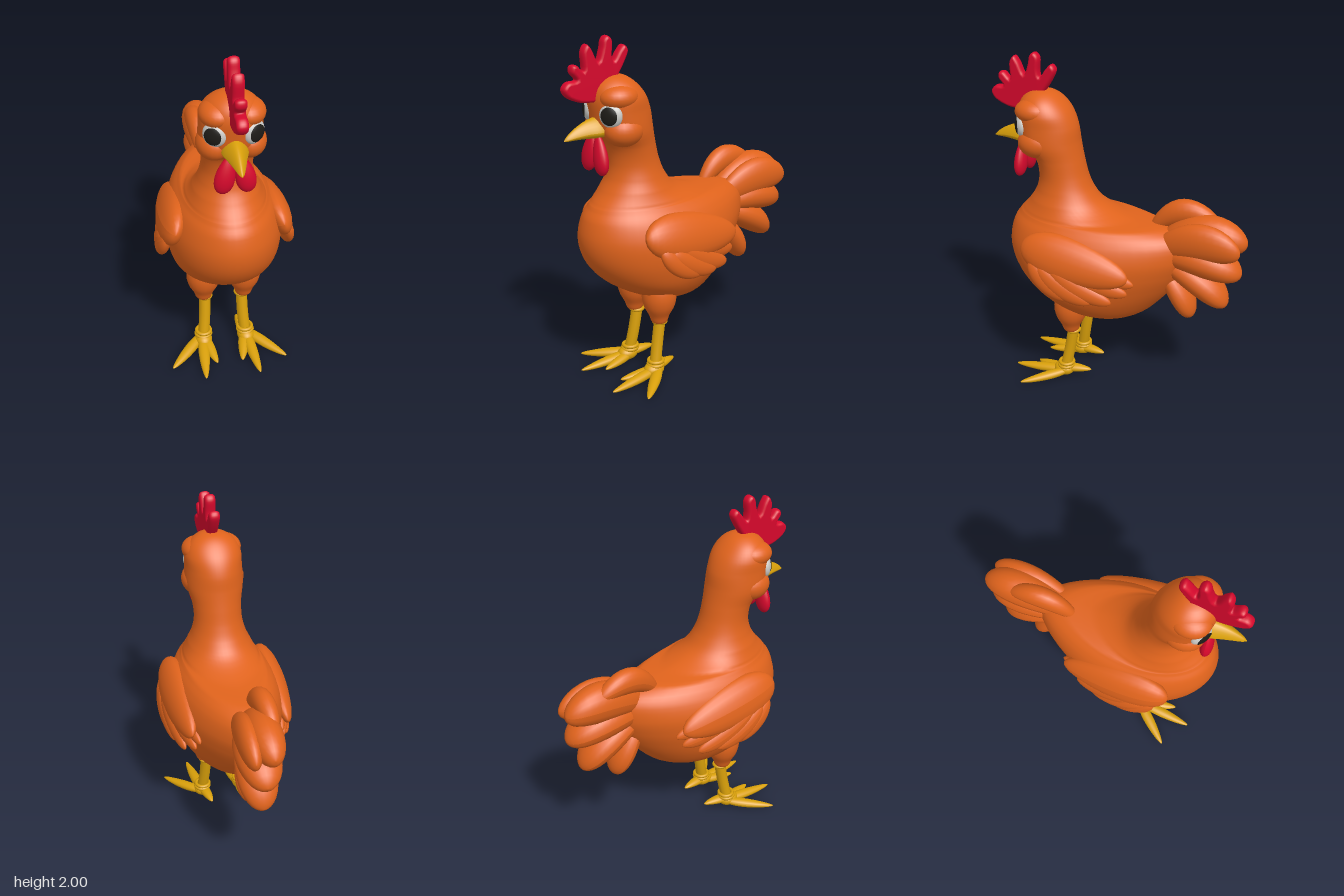
import * as THREE from 'three';
import { mergeVertices } from 'three/addons/utils/BufferGeometryUtils.js';
import { ParametricGeometry } from 'three/addons/geometries/ParametricGeometry.js';

const V = (x, y, z) => new THREE.Vector3(x, y, z);
const paint = (name, color) => {
  const m = new THREE.MeshStandardMaterial({ color });
  m.name = name;
  return m;
};

export function createModel() {
  const model = new THREE.Group();
  model.name = 'hen';
  const orange = paint('orange plumage', 0xe0631c);
  const yellow = paint('yellow horn', 0xd9a00a);
  const red = paint('red comb', 0xd6082c);
  const white = paint('eye white', 0xcdccc8);
  const black = paint('pupil black', 0x1e1c18);

  const add = (name, geo, mat, x = 0, y = 0, z = 0) => {
    const mesh = new THREE.Mesh(geo, mat);
    mesh.name = name;
    mesh.position.set(x, y, z);
    model.add(mesh);
    return mesh;
  };
  const blob = (name, mat, c, r) => add(name, new THREE.SphereGeometry(1, 24, 16).scale(...r), mat, ...c);

  // Flattened lobe from a to b; taper widens (+) or narrows (-) its far end, bend arches it, tilt rolls it
  const lobe = (name, mat, a, b, thick, width, taper = 0, bend = 0, tilt = 0) => {
    const from = V(...a), to = V(...b);
    const dir = to.clone().sub(from);
    const half = dir.length() / 2;
    dir.normalize();
    const side = V(1, tilt, 0);
    side.addScaledVector(dir, -side.dot(dir)).normalize();
    const up = side.clone().cross(dir);
    const geo = new THREE.SphereGeometry(1, 20, 18);
    const p = geo.attributes.position;
    for (let i = 0; i < p.count; i++) {
      const t = p.getY(i), k = 1 + taper * t;
      p.setXYZ(i, p.getX(i) * thick * k, t * half, p.getZ(i) * width * k + bend * (1 - t * t));
    }
    geo.applyMatrix4(new THREE.Matrix4().makeBasis(side, dir, up).setPosition(from.add(to).multiplyScalar(0.5)));
    geo.computeVertexNormals();
    return add(name, geo, mat);
  };

  // Body, neck and head: level slices [y, front z, back z, half width, z of widest point]
  const rows = [
    [0.437, 0.06, 0.04, 0.005, 0.05], [0.45, 0.17, -0.08, 0.1, 0.06], [0.5, 0.33, -0.18, 0.2, 0.12],
    [0.6, 0.5, -0.28, 0.28, 0.18], [0.7, 0.6, -0.36, 0.313, 0.2], [0.8, 0.652, -0.42, 0.327, 0.2],
    [0.9, 0.665, -0.455, 0.322, 0.2], [1.0, 0.643, -0.44, 0.287, 0.21], [1.06, 0.605, -0.34, 0.245, 0.23],
    [1.09, 0.58, -0.06, 0.222, 0.27], [1.15, 0.53, 0.09, 0.19, 0.31], [1.22, 0.49, 0.15, 0.16, 0.32],
    [1.3, 0.474, 0.185, 0.142, 0.33], [1.4, 0.49, 0.21, 0.145, 0.36], [1.5, 0.565, 0.23, 0.17, 0.42],
    [1.6, 0.585, 0.245, 0.168, 0.44], [1.68, 0.59, 0.28, 0.163, 0.44], [1.74, 0.57, 0.33, 0.13, 0.44],
    [1.78, 0.52, 0.385, 0.075, 0.45], [1.797, 0.46, 0.45, 0.005, 0.455],
  ];
  const outline = new THREE.CatmullRomCurve3(rows.map(r => V(r[0], r[1], r[2])));
  const girth = new THREE.CatmullRomCurve3(rows.map(r => V(r[3], r[4], r[0])));
  add('body', new ParametricGeometry((u, v, out) => {
    const a = u * Math.PI * 2, s = Math.sin(a), c = Math.cos(a);
    const o = outline.getPoint(v), g = girth.getPoint(v);
    // the rump narrows to a point, the neck stays round
    const power = c < 0 ? 1 + 0.4 * (1 - THREE.MathUtils.smoothstep(o.x, 1.0, 1.2)) : 1;
    const x = g.x * Math.sign(s) * Math.pow(Math.abs(s), power);
    out.set(x, o.x, g.y + c * (c > 0 ? o.y - g.y : g.y - o.z));
  }, 48, 76), orange);

  // Beak: rounded slices along z [z, centre y, half width, half height]
  const beakRows = [
    [0.53, 1.525, 0.072, 0.058], [0.58, 1.522, 0.068, 0.056], [0.64, 1.517, 0.05, 0.046],
    [0.7, 1.505, 0.032, 0.031], [0.75, 1.488, 0.015, 0.014], [0.77, 1.478, 0.002, 0.002],
  ];
  const beakLine = new THREE.CatmullRomCurve3(beakRows.map(r => V(0, r[1], r[0])));
  const beakSize = new THREE.CatmullRomCurve3(beakRows.map(r => V(r[2], r[3], r[0])));
  add('beak', new ParametricGeometry((u, v, out) => {
    const a = u * Math.PI * 2, o = beakLine.getPoint(v), g = beakSize.getPoint(v);
    const s = Math.sin(a);
    // ridged on top, widest below the middle
    out.set(g.x * Math.cos(a) * (s > 0 ? 1 - 0.3 * s : 1), o.y - g.y * 0.3 + g.y * s * (s > 0 ? 1.3 : 0.7), o.z);
  }, 24, 20), yellow);

  // Comb: outline in (z, y), extruded with rounded edges
  const combPoints = [
    [0.59, 1.66], [0.67, 1.67], [0.745, 1.705], [0.77, 1.75], [0.74, 1.785], [0.69, 1.79],
    [0.72, 1.83], [0.715, 1.865], [0.685, 1.868], [0.645, 1.835],
    [0.648, 1.925], [0.62, 1.968], [0.59, 1.935], [0.557, 1.87], [0.532, 1.93],
    [0.52, 1.98], [0.492, 2.0], [0.464, 1.97], [0.468, 1.9], [0.458, 1.865], [0.425, 1.91],
    [0.39, 1.942], [0.364, 1.91], [0.39, 1.85], [0.44, 1.77], [0.48, 1.69],
  ].map(p => new THREE.Vector2(...p));
  const combCurve = new THREE.SplineCurve([...combPoints, combPoints[0]]);
  let comb = new THREE.ExtrudeGeometry(new THREE.Shape(combCurve.getPoints(120).slice(0, -1)), {
    depth: 0.01, bevelEnabled: true, bevelThickness: 0.026, bevelSize: 0.017, bevelOffset: -0.017, bevelSegments: 5,
  });
  comb.translate(0, 0, -0.005).rotateY(-Math.PI / 2);
  comb.deleteAttribute('uv');
  comb.deleteAttribute('normal');
  comb = mergeVertices(comb, 1e-4);
  comb.computeVertexNormals();
  add('comb', comb, red);

  // Tail: arched plumes on top, a fan of broad feathers below
  lobe('tailPlume', orange, [-0.05, 1.0, -0.18], [-0.07, 1.12, -0.6], 0.058, 0.075, 0.2, 0.095);
  lobe('tailPlume', orange, [-0.02, 0.95, -0.24], [-0.02, 1.05, -0.775], 0.1, 0.115, 0.2, 0.055);
  lobe('tailPlume', orange, [0.05, 0.94, -0.24], [0.078, 1.03, -0.76], 0.065, 0.11, 0.2, 0.055);
  lobe('tailFeather', orange, [0, 0.9, -0.24], [0.015, 0.86, -0.76], 0.125, 0.1, 0.15, 0.045);
  lobe('tailFeather', orange, [0, 0.88, -0.25], [0.01, 0.65, -0.685], 0.115, 0.085, 0.15, 0.04);
  lobe('tailFeather', orange, [0, 0.85, -0.27], [0, 0.525, -0.475], 0.095, 0.066, 0.2, 0.015);

  for (const s of [1, -1]) {
    const side = s > 0 ? 'left' : 'right';

    // Wing: broad shoulder leaning outward at the bottom, with layered feathers
    lobe(side + 'Wing', orange, [s * 0.3, 0.95, 0.47], [s * 0.285, 0.84, -0.18], 0.078, 0.135, -0.2, 0, s * 0.35);
    const feathers = [
      [0.315, 0.96, 0.2, 0.245, 0.79, -0.2], [0.345, 0.9, 0.2, 0.265, 0.735, -0.17],
      [0.36, 0.87, 0.27, 0.31, 0.685, -0.09], [0.362, 0.86, 0.34, 0.345, 0.68, 0.02],
      [0.345, 0.88, 0.4, 0.365, 0.69, 0.14],
    ];
    for (const [ax, ay, az, bx, by, bz] of feathers) {
      lobe(side + 'WingFeather', orange, [s * ax, ay, az], [s * bx, by, bz], 0.038, 0.062, -0.1, -0.02, s * 0.2);
    }

    // Face: cheek, brow, outward-facing eye and wattle
    blob(side + 'Cheek', orange, [s * 0.09, 1.505, 0.45], [0.096, 0.09, 0.115]);
    blob(side + 'Brow', orange, [s * 0.078, 1.685, 0.47], [0.096, 0.07, 0.112]);
    const eye = blob(side + 'Eye', white, [s * 0.1, 1.6, 0.54], [0.065, 0.068, 0.036]);
    const cap = new THREE.SphereGeometry(1, 24, 8, 0, Math.PI * 2, 0, 0.78);
    const pupil = add(side + 'Pupil', cap.rotateX(Math.PI / 2).scale(0.067, 0.07, 0.039), black, s * 0.1, 1.6, 0.54);
    eye.rotation.y = pupil.rotation.y = s * 0.55;
    lobe(side + 'Wattle', red, [s * 0.025, 1.49, 0.575], [s * 0.073, 1.272, 0.583], 0.052, 0.034, 0.3);

    // Leg: feathered thigh, shank and cuffs
    const thigh = new THREE.SplineCurve([[0.002, 0.325], [0.042, 0.335], [0.06, 0.38], [0.09, 0.44], [0.1, 0.51], [0.08, 0.58], [0.002, 0.62]]
      .map(p => new THREE.Vector2(...p)));
    add(side + 'Thigh', new THREE.LatheGeometry(thigh.getPoints(24), 24), orange, s * 0.12, 0, 0.25);
    const shank = new THREE.CatmullRomCurve3([V(s * 0.11, 0.36, 0.235), V(s * 0.115, 0.2, 0.262), V(s * 0.128, 0.05, 0.29)]);
    add(side + 'Shank', new THREE.TubeGeometry(shank, 10, 0.034, 12), yellow);
    const ring = (y, x, z, r) => add(side + 'LegCuff', new THREE.TorusGeometry(r, 0.011, 8, 20).rotateX(Math.PI / 2), yellow, s * x, y, z);
    ring(0.33, 0.111, 0.24, 0.036);
    ring(0.095, 0.126, 0.283, 0.042);
    ring(0.075, 0.128, 0.285, 0.044);

    // Foot: pad, three front toes and a hind toe
    blob(side + 'FootPad', yellow, [s * 0.13, 0.045, 0.3], [0.052, 0.042, 0.065]);
    const toes = [[0.16, 0.018, 0.615], [0.34, 0.016, 0.5], [0.075, 0.02, 0.5], [0.1, 0.055, 0.13]];
    for (const [x, y, z] of toes) {
      lobe(side + 'Toe', yellow, [s * 0.13, 0.045, z > 0.2 ? 0.26 : 0.33], [s * x, y, z], 0.032, 0.025, -0.3, 0.004);
    }
  }
  return model;
}
